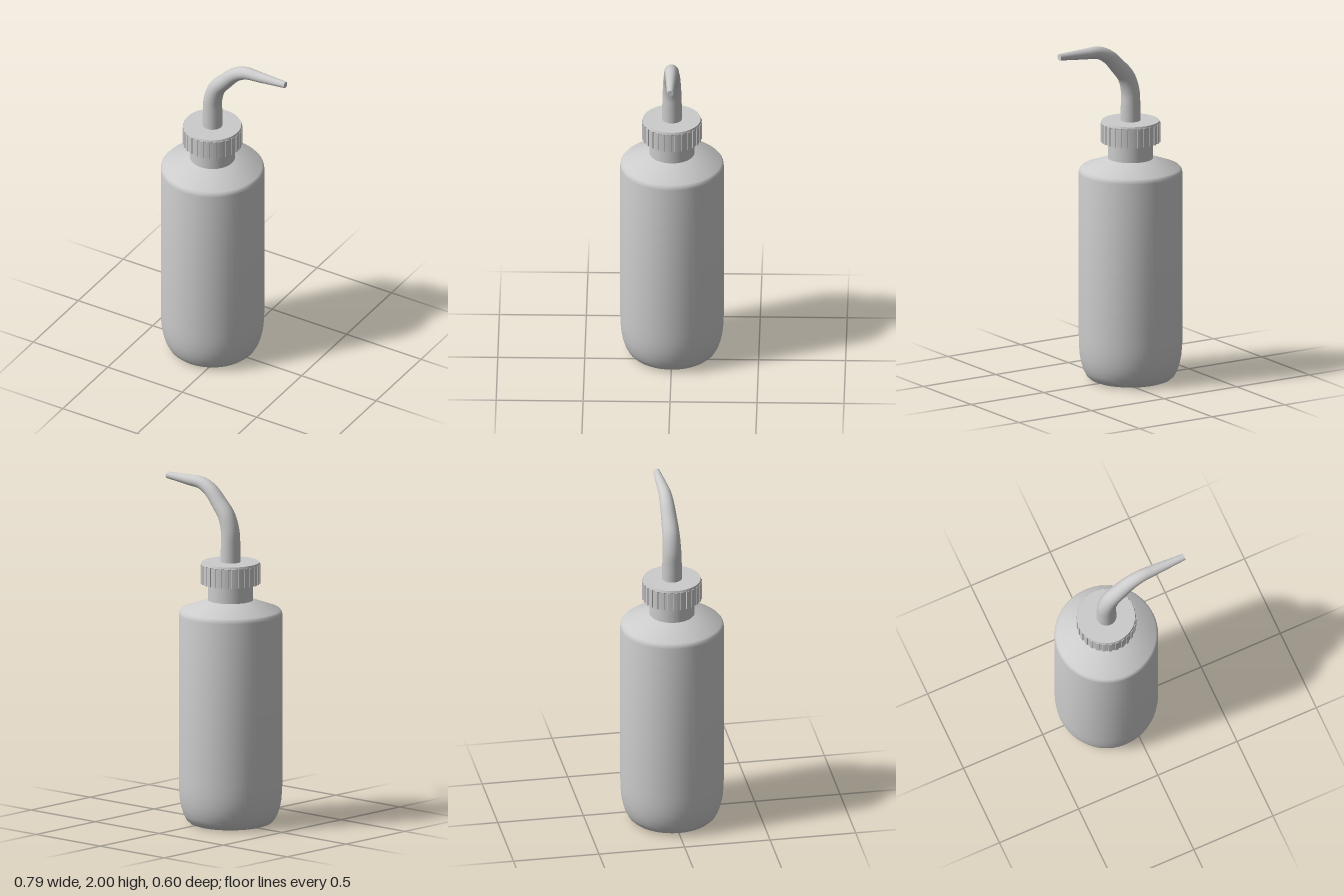
import * as THREE from 'three';
import { toCreasedNormals } from 'three/addons/utils/BufferGeometryUtils.js';

const AXIS_X = -0.098;
const material = new THREE.MeshStandardMaterial({ color: 0xcccccc });

function addMesh(group, name, geometry) {
  const mesh = new THREE.Mesh(geometry, material);
  mesh.name = name;
  group.add(mesh);
  return mesh;
}

// Revolved profile from [radius, height] pairs, listed bottom to top
function lathe(points) {
  const profile = points.map(([r, y]) => new THREE.Vector2(r, y));
  return toCreasedNormals(new THREE.LatheGeometry(profile, 64), 0.55);
}

// Ring with shallow grip ribs around its rim, open in the middle
function ribbedRing(outer, groove, inner, height, ribs) {
  const shape = new THREE.Shape();
  const step = (Math.PI * 2) / ribs;
  for (let i = 0; i < ribs; i++) {
    const corners = [[groove, 0], [groove, 0.25], [groove, 0.46], [outer, 0.5], [outer, 0.75], [outer, 0.96]];
    corners.forEach(([r, t], k) => {
      const a = (i + t) * step;
      const move = i === 0 && k === 0 ? 'moveTo' : 'lineTo';
      shape[move](r * Math.cos(a), r * Math.sin(a));
    });
  }
  shape.closePath();
  shape.holes.push(new THREE.Path().absarc(0, 0, inner, 0, Math.PI * 2, true));
  const geometry = new THREE.ExtrudeGeometry(shape, { depth: height, bevelEnabled: false, curveSegments: 48 });
  geometry.rotateX(-Math.PI / 2);
  return toCreasedNormals(geometry, 0.4);
}

// Round tube whose radius follows a rule along its length
function taperedTube(curve, radiusAt, segments, sides) {
  const geometry = new THREE.TubeGeometry(curve, segments, 1, sides);
  const pos = geometry.attributes.position;
  const normal = geometry.attributes.normal;
  const n = new THREE.Vector3();
  for (let i = 0; i <= segments; i++) {
    const center = curve.getPointAt(i / segments);
    for (let j = 0; j <= sides; j++) {
      const k = i * (sides + 1) + j;
      n.fromBufferAttribute(normal, k).multiplyScalar(radiusAt(i / segments)).add(center);
      pos.setXYZ(k, n.x, n.y, n.z);
    }
  }
  return geometry;
}

export function createModel() {
  const model = new THREE.Group();
  model.name = 'washBottle';

  // Bottle with rounded base, sloping shoulder and neck
  const bottle = addMesh(model, 'bottle', lathe([
    [0, 0], [0.215, 0], [0.236, 0.008], [0.254, 0.025], [0.27, 0.055],
    [0.283, 0.095], [0.292, 0.14], [0.297, 0.2], [0.298, 0.26],
    [0.298, 1.225], [0.295, 1.241], [0.285, 1.253],
    [0.13, 1.31], [0.13, 1.51],
  ]));
  bottle.position.x = AXIS_X;

  // Screw cap: ribbed skirt and flat lid
  const cap = new THREE.Group();
  cap.name = 'cap';
  cap.position.x = AXIS_X;
  model.add(cap);
  addMesh(cap, 'capSkirt', ribbedRing(0.172, 0.167, 0.152, 0.112, 28)).position.y = 1.408;
  addMesh(cap, 'capLid', lathe([[0, 1.505], [0.16, 1.505], [0.169, 1.519], [0.165, 1.532], [0, 1.534]]));

  // Bent, tapering spout
  const path = new THREE.CatmullRomCurve3([
    [AXIS_X, 1.525], [AXIS_X, 1.62], [-0.095, 1.71], [-0.068, 1.795],
    [-0.01, 1.865], [0.055, 1.93], [0.125, 1.964], [0.22, 1.969], [0.392, 1.975],
  ].map(([x, y]) => new THREE.Vector3(x, y, 0)));
  const spoutRadius = (t) => 0.058 - 0.039 * t ** 1.5;
  const spout = new THREE.Group();
  spout.name = 'spout';
  model.add(spout);
  addMesh(spout, 'spoutTube', taperedTube(path, spoutRadius, 48, 32));

  // Flat end of the spout
  const tip = addMesh(spout, 'spoutTip', new THREE.CircleGeometry(spoutRadius(1), 32));
  tip.position.copy(path.getPointAt(1));
  tip.lookAt(tip.position.clone().add(path.getTangentAt(1)));

  return model;
}
